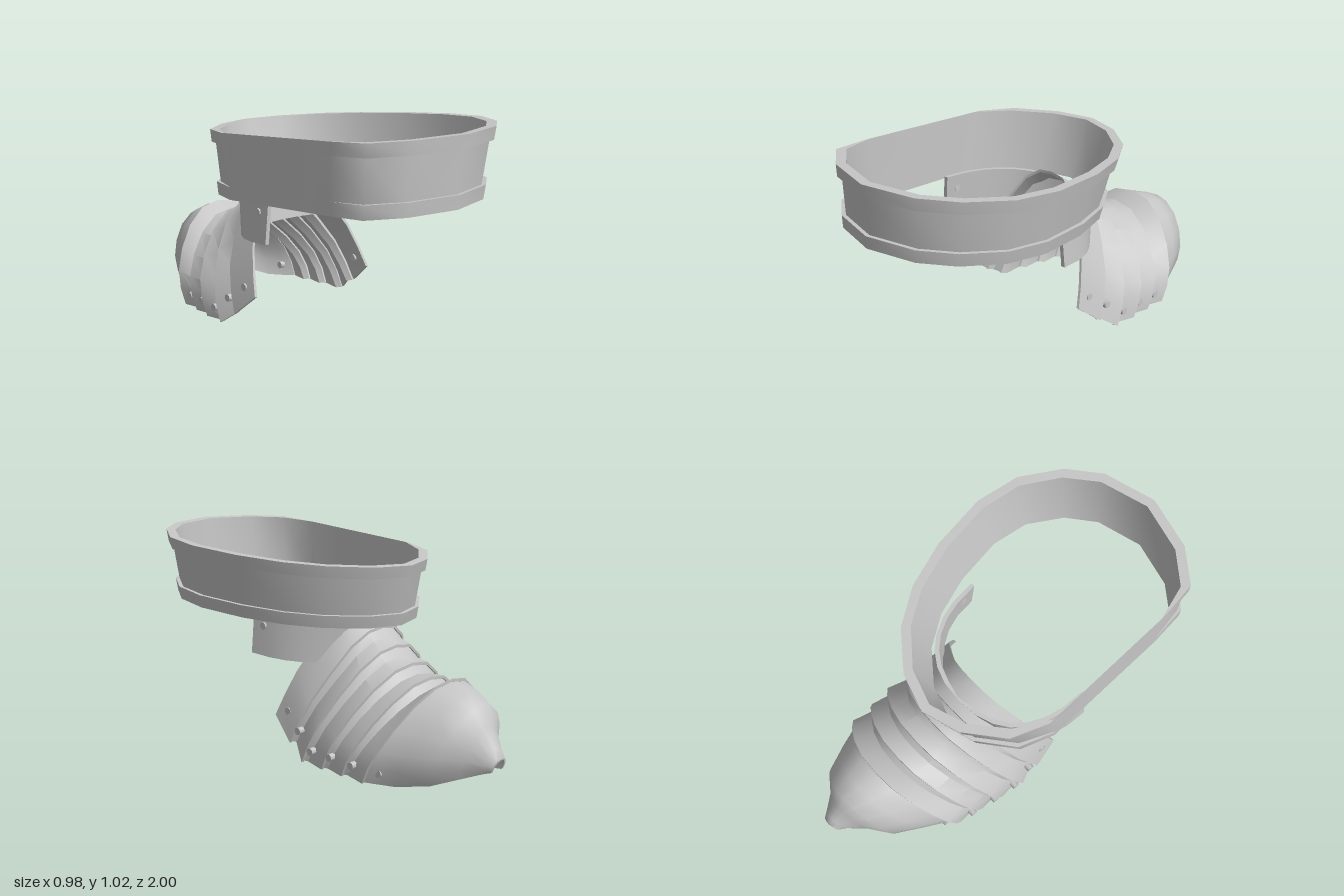
import * as THREE from 'three';
import { toCreasedNormals } from 'three/addons/utils/BufferGeometryUtils.js';

const lerp = THREE.MathUtils.lerp;
const steel = new THREE.MeshStandardMaterial({ color: 0xc6c6c6, side: THREE.DoubleSide });
steel.name = 'steel';

// Skin between rows of points; every row is one closed cross-section loop.
// Open bands get capped ends (outer half of the loop stitched to the inner half).
function band(rows, closed, crease) {
  const pos = [];
  const quad = (a, b, c, d) => pos.push(...a, ...b, ...c, ...a, ...c, ...d);
  const n = rows[0].length;
  const count = closed ? rows.length : rows.length - 1;
  for (let i = 0; i < count; i++) {
    const p = rows[i], q = rows[(i + 1) % rows.length];
    for (let j = 0; j < n; j++) {
      const k = (j + 1) % n;
      quad(p[j], p[k], q[k], q[j]);
    }
  }
  if (!closed) {
    const first = rows[0], last = rows[rows.length - 1];
    for (let j = 0; j < n / 2 - 1; j++) {
      quad(first[j], first[n - 1 - j], first[n - 2 - j], first[j + 1]);
      quad(last[j], last[j + 1], last[n - 2 - j], last[n - 1 - j]);
    }
  }
  const g = new THREE.BufferGeometry();
  g.setAttribute('position', new THREE.Float32BufferAttribute(pos, 3));
  return toCreasedNormals(g, crease);
}

// Half arch outlines as [width fraction, height fraction], from foot to crown
const STEEP = [[1, 0], [.94, .18], [.84, .40], [.63, .65], [.41, .89], [.2, .985], [0, 1]];
const ROUND = [[1, 0], [1.01, .17], [.96, .36], [.81, .58], [.58, .8], [.29, .96], [0, 1]];
const BULGE = [[1, 0], [1.1, .2], [1.08, .4], [.92, .62], [.64, .83], [.3, .96], [0, 1]];

// Arch section: foot [z, y], crown [z, y], half width w, centre cx, outline blend
function arch(s, inset) {
  const half = s.from.map(([u, v], i) => {
    const a = lerp(u, s.to[i][0], s.mix), h = lerp(v, s.to[i][1], s.mix);
    return [a * (s.w - inset), lerp(s.foot[1], s.crown[1] - inset, h), lerp(s.foot[0], s.crown[0], h)];
  });
  const at = (p, side) => [s.cx + side * p[0], p[1], p[2]];
  return [...half.map(p => at(p, -1)), ...half.slice(0, -1).reverse().map(p => at(p, 1))];
}

// Curved plate of even thickness through a run of arch sections
function archPlate(sections, thickness) {
  const outer = sections.map(s => arch(s, 0));
  const inner = sections.map(s => arch(s, thickness)).reverse();
  const loops = [...outer, ...inner];
  return band(loops[0].map((_, i) => loops.map(l => l[i])), false, .75);
}

function beltGeometry() {
  // Egg-shaped half outline [x from centre, z], front to back
  const half = [[0, 1], [.25, .935], [.40, .82], [.52, .64], [.56, .43],
    [.53, .16], [.46, -.06], [.35, -.23], [.18, -.365], [0, -.42]];
  const outline = [...half, ...half.slice(1, -1).reverse().map(([x, z]) => [-x, z])];
  // [height fraction, inset]: flange, web, flange, then the inner wall
  const profile = [[1, 0], [.81, 0], [.81, .02], [.2, .02], [.2, 0], [0, 0], [0, .045], [1, .045]];
  return band(outline.map(([x, z]) => profile.map(([f, inset]) => {
    const dz = z - .29, r = 1 - inset / Math.hypot(x, dz);
    const px = lerp(-.10, -.07, f) + x * r * lerp(.945, 1, f);
    const pz = lerp(.3175, .29, f) + dz * r * lerp(.925, 1, f);
    const y = lerp(.643 + .068 * pz, .942 + .078 * pz, f);
    return [Math.max(px, -.49), y, pz]; // one side is cut flat
  })), true, .95);
}

function collarGeometry() {
  const rows = [];
  for (let i = 0; i <= 14; i++) {
    const a = Math.PI * i / 14;
    const c = Math.sign(Math.cos(a)) * Math.abs(Math.cos(a)) ** .85;
    const s = Math.max(0, Math.sin(a)) ** .85;
    const point = (top, inset) => {
      const x = -.075 + ((top ? .38 : .40) - inset) * c;
      const z = .215 - ((top ? .43 : .385) - inset) * s;
      return [x, top ? .67 + .078 * z : .461 + .07 * z, z];
    };
    rows.push([point(true, 0), point(false, 0), point(false, .02), point(true, .02)]);
  }
  return band(rows, false, .62);
}

export function createModel() {
  const model = new THREE.Group();
  model.name = 'articulatedArmour';
  const add = (name, geometry) => {
    const mesh = new THREE.Mesh(geometry, steel);
    mesh.name = name;
    model.add(mesh);
    return mesh;
  };

  add('belt', beltGeometry());
  add('collarPlate', collarGeometry());

  // Rear rims of the overlapping plates: foot, crown, half width, centre
  const rims = [
    [[.085, .195], [-.12, .72], .365, -.065],
    [[-.04, .09], [-.26, .615], .39, -.06],
    [[-.14, .025], [-.355, .54], .405, -.05],
    [[-.265, .02], [-.46, .475], .395, -.04],
    [[-.38, .015], [-.57, .43], .38, -.03],
    [[-.50, .01], [-.695, .445], .367, -.02],
  ].map(([foot, crown, w, cx], i) =>
    ({ foot, crown, w, cx, from: STEEP, to: ROUND, mix: Math.min(1, i * .35) }));

  // Each plate starts against the inside of the rim before it, then dips
  const tucked = s => ({ ...s, w: s.w - .012, foot: [s.foot[0] + .012, s.foot[1] + .005],
    crown: [s.crown[0] + .012, s.crown[1] - .012] });
  const dipped = s => ({ ...s, w: s.w - .03, foot: [s.foot[0] - .012, s.foot[1]],
    crown: [s.crown[0] - .025, s.crown[1] - .05] });
  for (let k = 0; k < 5; k++) {
    const start = k === 0 ? [rims[0]] : [tucked(rims[k]), dipped(rims[k])];
    add('tailPlate' + (k + 1), archPlate([...start, rims[k + 1]], .014));
  }

  // Pointed end cap closing to a small open tip
  const cap = [
    [[-.485, .012], [-.68, .433], .355, -.02, 0],
    [[-.52, .008], [-.715, .427], .335, -.02, 0],
    [[-.62, .003], [-.80, .405], .275, -.01, .5],
    [[-.76, .025], [-.885, .362], .205, 0, 1],
    [[-.86, .06], [-.92, .285], .115, .01, 1],
    [[-.94, .09], [-.975, .20], .06, .02, 1],
    [[-.975, .10], [-1.0, .165], .042, .02, 1],
  ].map(([foot, crown, w, cx, mix]) => ({ foot, crown, w, cx, mix, from: ROUND, to: BULGE }));
  add('tailCap', archPlate(cap, .01));

  // Rivets on both flanks: [z, y, centre x, distance from centre]
  const rivet = new THREE.CylinderGeometry(.018, .018, .03, 8).rotateZ(Math.PI / 2);
  const spots = [[.15, .61, -.075, .375], [.005, .225, -.065, .35], [-.09, .155, -.06, .376],
    [-.19, .085, -.05, .39], [-.31, .085, -.04, .383], [-.435, .075, -.03, .368], [-.56, .06, -.02, .318]];
  for (const [z, y, cx, d] of spots) {
    for (const side of [-1, 1]) {
      add(side > 0 ? 'leftRivet' : 'rightRivet', rivet).position.set(cx + side * d, y, z);
    }
  }
  return model;
}
